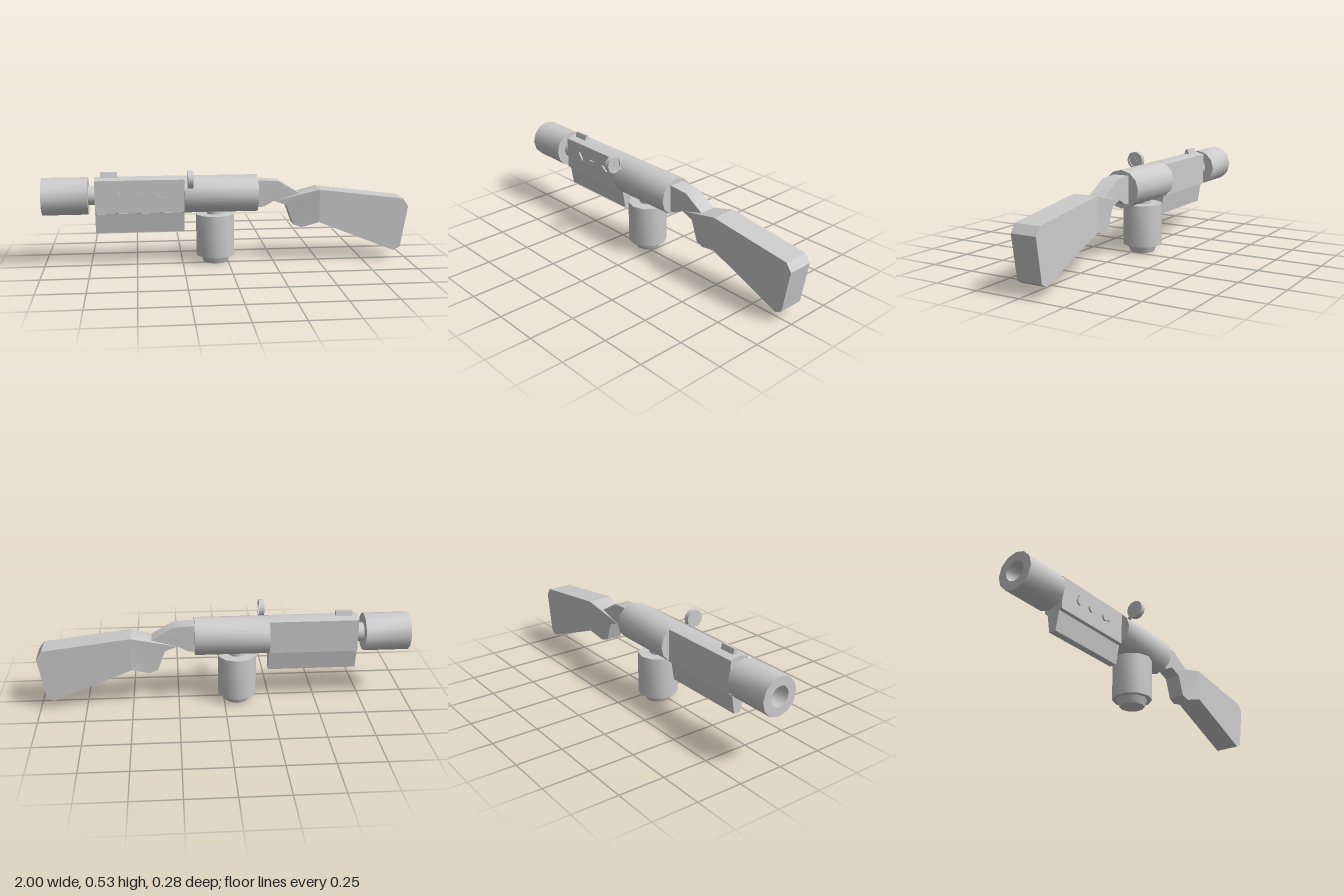
import * as THREE from 'three';
import { toCreasedNormals } from 'three/addons/utils/BufferGeometryUtils.js';

const AXIS_Y = 0.38, AXIS_Z = -0.033, R = 0.103;

export function createModel() {
  const model = new THREE.Group();
  const material = new THREE.MeshStandardMaterial({ color: 0xcccccc });

  const add = (name, geometry, x = 0, y = 0, z = 0) => {
    const mesh = new THREE.Mesh(toCreasedNormals(geometry, 0.7), material);
    mesh.name = name;
    mesh.position.set(x, y, z);
    model.add(mesh);
    return mesh;
  };
  const lathe = (points, sides = 12) =>
    new THREE.LatheGeometry(points.map(([r, y]) => new THREE.Vector2(r, y)), sides);
  const polygon = (points) => new THREE.Shape(points.map(([x, y]) => new THREE.Vector2(x, y)));
  const extrude = (shape, depth, curveSegments = 6) =>
    new THREE.ExtrudeGeometry(shape, { depth, bevelEnabled: false, curveSegments });
  // Cylinder lying along x
  const tube = (name, x0, x1, r) =>
    add(name, new THREE.CylinderGeometry(r, r, x1 - x0, 12).rotateZ(Math.PI / 2), (x0 + x1) / 2, AXIS_Y, AXIS_Z);
  // Cross-section (sideways, up) swept along x
  const prism = (name, points, x0, x1) =>
    add(name, extrude(polygon(points), x1 - x0).rotateY(Math.PI / 2), x0, 0, AXIS_Z);

  // Receiver, barrel and hollow muzzle
  tube('receiver', -0.24, 0.16, R);
  tube('barrel', -0.78, -0.7, 0.051);
  add('muzzle', lathe([[0, 0.755], [R, 0.755], [R, 1], [0.055, 1], [0.055, 0.79], [0, 0.79]])
    .rotateZ(Math.PI / 2), 0, AXIS_Y, AXIS_Z);

  // Flat-sided fore-end, its lower rail and the sight
  prism('foreEnd', [[-0.054, 0.29], [0, 0.277], [0.054, 0.29], [0.054, 0.469], [0, 0.483], [-0.054, 0.469]], -0.72, -0.24);
  prism('lowerRail', [[-0.02, 0.178], [0.02, 0.178], [0.038, 0.285], [-0.038, 0.285]], -0.72, -0.24);
  prism('frontSight', [[-0.016, 0.475], [0.016, 0.475], [0.007, 0.508], [-0.007, 0.508]], -0.69, -0.6);

  // Three pointer knobs on the front side
  [[-0.595, 1.75], [-0.5, 0.5], [-0.39, -0.2]].forEach(([x, angle]) => {
    const shape = new THREE.Shape();
    shape.absarc(0, 0, 0.018, 0.5, Math.PI * 2 - 0.5, false);
    shape.lineTo(0.038, 0);
    shape.closePath();
    add('knob', extrude(shape, 0.012).rotateZ(angle), x, AXIS_Y, 0.018);
  });

  // Canister below the receiver
  add('canister', lathe([[0, 0], [0.067, 0], [0.082, 0.04], [0.107, 0.04], [0.107, 0.27], [0, 0.27]], 10), -0.07, 0, AXIS_Z);
  add('canisterNeck', new THREE.CylinderGeometry(0.045, 0.045, 0.06, 10), -0.07, 0.285, AXIS_Z);

  // Dial with recessed face, needle and stem
  add('dial', lathe([[0, 0], [0.048, 0], [0.048, 0.028], [0.037, 0.028], [0.037, 0.02], [0, 0.02]])
    .rotateZ(-Math.PI / 2), -0.225, 0.482, 0.093);
  const needle = polygon([[-0.005, -0.008], [0.005, -0.008], [0, 0.02]]);
  add('dialNeedle', extrude(needle, 0.004).rotateY(Math.PI / 2), -0.206, 0.482, 0.091);
  const stem = add('dialStem', new THREE.CylinderGeometry(0.01, 0.01, 0.08, 8), -0.212, 0.432, 0.04);
  stem.rotation.x = Math.PI / 4;

  // Stock: narrow grip flaring into a wide butt
  const halfWidth = (x) => THREE.MathUtils.lerp(0.045, 0.07, THREE.MathUtils.clamp((x - 0.38) / 0.12, 0, 1));
  const stockPart = (name, points) => {
    const geometry = extrude(polygon(points), 2).translate(0, 0, -1);
    const p = geometry.attributes.position;
    for (let i = 0; i < p.count; i++) p.setZ(i, Math.sign(p.getZ(i)) * halfWidth(p.getX(i)));
    geometry.computeVertexNormals();
    add(name, geometry, 0, 0, AXIS_Z);
  };
  stockPart('grip', [[0.15, 0.305], [0.195, 0.31], [0.25, 0.34], [0.32, 0.315], [0.36, 0.205], [0.405, 0.19],
    [0.5, 0.22], [0.5, 0.402], [0.39, 0.38], [0.275, 0.449], [0.15, 0.457]]);
  stockPart('butt', [[0.5, 0.22], [0.925, 0.05], [0.962, 0.07], [1, 0.3], [0.97, 0.343], [0.5, 0.402]]);

  return model;
}
